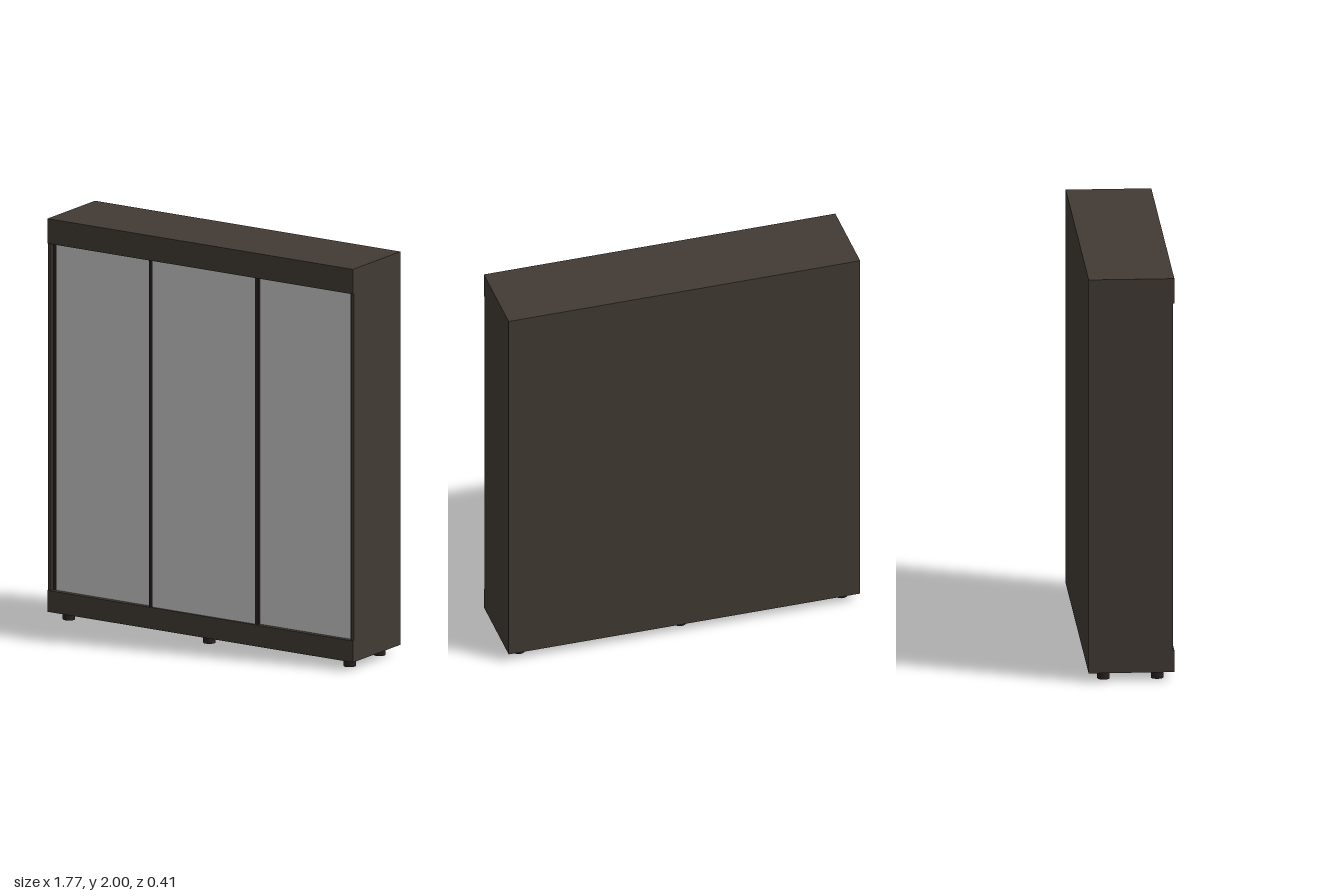
import * as THREE from 'three';

export function createModel() {
  const root = new THREE.Group();
  const body = new THREE.MeshStandardMaterial({ name: 'dark brown wood', color: 0x423b34 });
  const trim = new THREE.MeshStandardMaterial({ name: 'near black trim', color: 0x2a2020 });
  const panel = new THREE.MeshStandardMaterial({ name: 'pale grey panel', color: 0xcacaca });

  // Box given by its minimum and maximum corners
  function box(name, mat, [x0, y0, z0], [x1, y1, z1], parent = root) {
    const mesh = new THREE.Mesh(new THREE.BoxGeometry(x1 - x0, y1 - y0, z1 - z0), mat);
    mesh.position.set((x0 + x1) / 2, (y0 + y1) / 2, (z0 + z1) / 2);
    mesh.name = name;
    parent.add(mesh);
  }

  const W = 0.885, back = -0.207, front = 0.207, sideFront = 0.2;
  const base = 0.043, low = 0.15, high = 1.876, side = 0.017;

  // Carcass: full-depth plinth and header, side walls and back between them
  box('plinth', body, [-W, base, back], [W, low, front]);
  box('header', body, [-W, high, back], [W, 2, front]);
  box('rightSide', body, [-W, low, back], [-W + side, high, sideFront]);
  box('leftSide', body, [W - side, low, back], [W, high, sideFront]);
  box('backPanel', body, [-W + side, low, back], [W - side, high, back + 0.015]);

  // Sliding doors: dark slab, pale sheet in front, slim edge handles
  const doors = [
    { name: 'rightDoor', x0: -0.868, x1: -0.283, left: 0.02, right: 0.02, z: 0.183 },
    { name: 'middleDoor', x0: -0.304, x1: 0.33, left: 0.021, right: 0.02, z: 0.197 },
    { name: 'leftDoor', x0: 0.31, x1: 0.868, left: 0.02, right: 0.014, z: 0.183 },
  ];
  for (const d of doors) {
    const door = new THREE.Group();
    door.name = d.name;
    root.add(door);
    box('doorSlab', trim, [d.x0, low, d.z - 0.013], [d.x1, high, d.z - 0.004], door);
    box('doorSheet', panel, [d.x0 + d.left, low, d.z - 0.004], [d.x1 - d.right, high, d.z], door);
    box('rightHandle', trim, [d.x0, low, d.z - 0.004], [d.x0 + d.left, high, d.z], door);
    box('leftHandle', trim, [d.x1 - d.right, low, d.z - 0.004], [d.x1, high, d.z], door);
  }

  // Six short round feet
  const footShape = new THREE.CylinderGeometry(0.03, 0.03, base, 20);
  for (const x of [-0.813, 0, 0.813]) {
    for (const z of [-0.131, 0.128]) {
      const foot = new THREE.Mesh(footShape, trim);
      foot.name = 'foot';
      foot.position.set(x, base / 2, z);
      root.add(foot);
    }
  }
  return root;
}
